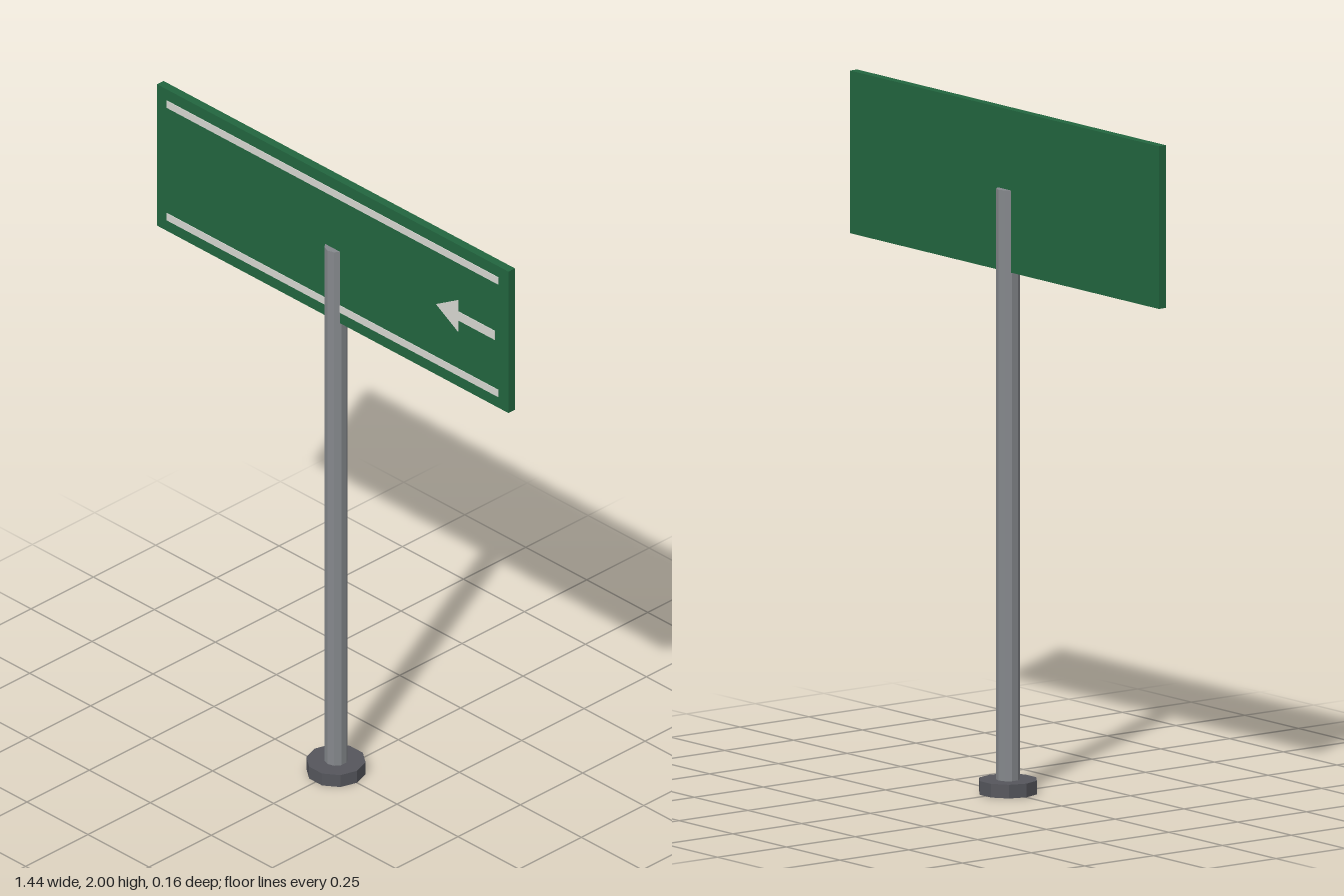
import * as THREE from 'three';

const paint = (color) => new THREE.MeshStandardMaterial({ color, flatShading: true });

export function createModel() {
  const group = new THREE.Group();
  const steel = paint(0x85888c);
  const darkSteel = paint(0x55565c);
  const green = paint(0x22663f);
  const white = paint(0xd8d8d2);

  const add = (name, geometry, material, x, y, z) => {
    const mesh = new THREE.Mesh(geometry, material);
    mesh.name = name;
    mesh.position.set(x, y, z);
    group.add(mesh);
    return mesh;
  };

  // Ten-sided foot plate and post
  const baseHeight = 0.04;
  const base = add('basePlate', new THREE.CylinderGeometry(0.086, 0.086, baseHeight, 10), darkSteel, 0, baseHeight / 2, 0);
  base.rotation.y = Math.PI / 2;
  const postTop = 1.765;
  add('post', new THREE.CylinderGeometry(0.034, 0.034, postTop - baseHeight, 10), steel, 0, (postTop + baseHeight) / 2, 0);

  // Sign board
  const boardHeight = 0.475, boardDepth = 0.026, relief = 0.002;
  const boardY = 2 - boardHeight / 2;
  const front = boardDepth / 2;
  add('signBoard', new THREE.BoxGeometry(1.44, boardHeight, boardDepth), green, 0, boardY, 0);

  // Border stripes, front only
  for (const [name, side] of [['topStripe', 1], ['bottomStripe', -1]]) {
    add(name, new THREE.BoxGeometry(1.36, 0.024, relief), white, 0, boardY + side * 0.189, front + relief / 2);
  }

  // Direction arrow pointing to -x
  const arrow = new THREE.Shape([
    [0.425, 0], [0.515, -0.053], [0.515, -0.015], [0.665, -0.015],
    [0.665, 0.015], [0.515, 0.015], [0.515, 0.053],
  ].map(([x, y]) => new THREE.Vector2(x, y)));
  add('arrow', new THREE.ExtrudeGeometry(arrow, { depth: relief, bevelEnabled: false }), white, 0, boardY, front);

  return group;
}
